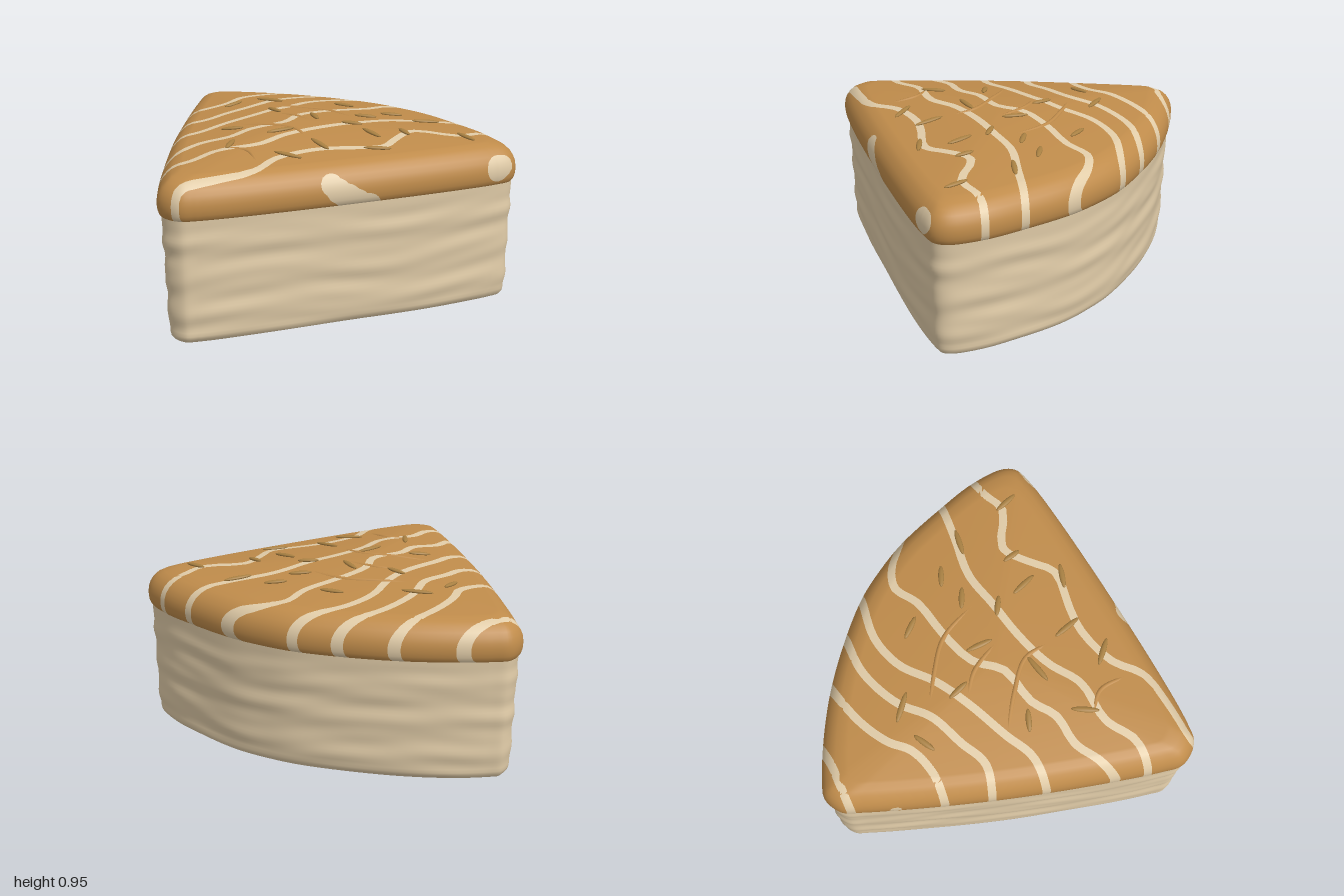
import * as THREE from 'three';

const V2 = (a) => new THREE.Vector2(a[0], a[1]);
const curve = (pts, closed = false) => new THREE.CatmullRomCurve3(pts.map(([x, z]) => new THREE.Vector3(x, 0, z)), closed);
const CENTRE = V2([-0.25, 0.02]);
const N = 300;

// Plan of the wedge: straight left side, curved back, slanted front
const plan = curve([
  [-.94, .8], [-.955, .15], [-.94, -.3], [-.9, -.8], [-.88, -.92], [-.8, -.995], [-.7, -.995], [-.48, -.96],
  [-.22, -.89], [.06, -.775], [.29, -.65], [.44, -.53], [.58, -.39], [.755, -.15], [.885, .06], [.95, .25], [.93, .335], [.84, .4],
  [0, .745], [-.72, .985], [-.82, .995], [-.92, .92],
], true);
const rim = Array.from({ length: N }, (_, j) => {
  const p = plan.getPointAt(j / N), t = plan.getTangentAt(j / N);
  const inward = V2([-t.z, t.x]), q = V2([p.x, p.z]);
  return { p: q, inward, reach: CENTRE.clone().sub(q).dot(inward) };
});

// Domed top surface: falls from the middle to an even height all round the rim
function topHeight(x, z) {
  let s = 0;
  for (const { inward, reach } of rim) s = Math.max(s, ((CENTRE.x - x) * inward.x + (CENTRE.y - z) * inward.y) / reach);
  return 0.95 - 0.07 * s ** 1.6;
}

// Closed rings of points stacked from the bottom up
function loft(rows, point) {
  const pos = [], index = [];
  for (let i = 0; i < rows; i++) {
    for (let j = 0; j < N; j++) {
      pos.push(...point(i, j));
      if (i === rows - 1) continue;
      const a = i * N + j, b = i * N + (j + 1) % N;
      index.push(a, a + N, b, b, a + N, b + N);
    }
  }
  const g = new THREE.BufferGeometry();
  g.setAttribute('position', new THREE.Float32BufferAttribute(pos, 3));
  g.setIndex(index);
  g.computeVertexNormals();
  return g;
}

// Pale drizzle lines running across the top and down the sides
const drizzle = [
  [[-1, -.83], [-.91, -.86], [-.76, -.9], [-.65, -.93], [-.45, -1.02]],
  [[-1, -.36], [-.94, -.37], [-.79, -.41], [-.66, -.5], [-.59, -.62], [-.44, -.76], [-.2, -.89], [-.08, -.92]],
  [[-1, -.12], [-.79, -.13], [-.66, -.24], [-.5, -.37], [-.39, -.54], [-.18, -.7], [.04, -.765], [.15, -.8]],
  [[-1, .18], [-.79, .12], [-.66, 0], [-.47, -.16], [-.31, -.32], [-.18, -.5], [0, -.61], [.25, -.65], [.36, -.68]],
  [[-1, .58], [-.86, .46], [-.76, .35], [-.6, .28], [-.5, .16], [-.31, .05], [-.23, -.11], [-.05, -.24], [.16, -.35], [.27, -.46], [.4, -.46], [.52, -.41], [.66, -.36]],
  [[-1, .73], [-.79, .67], [-.66, .53], [-.44, .44], [-.31, .29], [-.13, .16], [.08, .05], [.27, -.05], [.51, -.09], [.73, -.13], [.85, -.15]],
  [[-.84, 1.03], [-.82, .97], [-.66, .9], [-.44, .79], [-.34, .63], [-.15, .5], [0, .46], [.22, .42], [.3, .29], [.4, .16], [.64, .2], [.78, .1], [.95, .05]],
].map((pts) => curve(pts).getPoints(36));
// Wider drips on the sides: x, y, z, radius
const drips = [
  [-.055, .8, .745, .06], [-.015, .765, .745, .065], [.03, .73, .73, .07], [.07, .69, .715, .08], [.13, .65, .695, .09],
  [.84, .775, .385, .072], [.87, .785, .37, .06], [-.935, .7, -.66, .04], [-.93, .75, -.63, .035],
];

function drizzleField(x, y, z) {
  let d = 9;
  for (const line of drizzle) {
    for (let i = 0; i + 1 < line.length; i++) {
      const a = line[i], dx = line[i + 1].x - a.x, dz = line[i + 1].z - a.z;
      const t = Math.min(1, Math.max(0, ((x - a.x) * dx + (z - a.z) * dz) / (dx * dx + dz * dz)));
      d = Math.min(d, Math.hypot(x - a.x - t * dx, z - a.z - t * dz));
    }
  }
  d -= 0.022;
  for (const [cx, cy, cz, r] of drips) d = Math.min(d, Math.hypot(x - cx, y - cy, z - cz) - r);
  return d;
}

// Cuts every triangle along the zero line of a field and returns the two sides
function splitByField(g, field) {
  const P = g.attributes.position, M = g.attributes.normal, idx = g.index.array;
  const verts = Array.from({ length: P.count }, (_, i) => {
    const p = new THREE.Vector3().fromBufferAttribute(P, i);
    return { p, n: new THREE.Vector3().fromBufferAttribute(M, i), f: field(p.x, p.y, p.z) };
  });
  const clip = (sign) => {
    const pos = [], nor = [];
    for (let k = 0; k < idx.length; k += 3) {
      const poly = [];
      for (let e = 0; e < 3; e++) {
        const a = verts[idx[k + e]], b = verts[idx[k + (e + 1) % 3]];
        if (a.f * sign >= 0) poly.push(a);
        if (a.f * b.f < 0) {
          const t = a.f / (a.f - b.f);
          poly.push({ p: a.p.clone().lerp(b.p, t), n: a.n.clone().lerp(b.n, t).normalize() });
        }
      }
      for (let e = 1; e + 1 < poly.length; e++) {
        for (const v of [poly[0], poly[e], poly[e + 1]]) {
          pos.push(...v.p.toArray());
          nor.push(...v.n.toArray());
        }
      }
    }
    const out = new THREE.BufferGeometry();
    out.setAttribute('position', new THREE.Float32BufferAttribute(pos, 3));
    out.setAttribute('normal', new THREE.Float32BufferAttribute(nor, 3));
    return out;
  };
  return [clip(1), clip(-1)];
}

export function createModel() {
  const group = new THREE.Group();
  const material = (name, color, side = THREE.FrontSide) => {
    const m = new THREE.MeshStandardMaterial({ color, side });
    m.name = name;
    return m;
  };
  const cream = material('cream', 0xe1cca8, THREE.DoubleSide);
  const caramel = material('caramel', 0xc08c4b, THREE.DoubleSide);
  const seedBrown = material('seed brown', 0xa88042);
  const add = (name, geometry, mat, parent = group) => {
    const mesh = new THREE.Mesh(geometry, mat);
    mesh.name = name;
    parent.add(mesh);
    return mesh;
  };

  // Cake sides: a hollow wall with soft uneven layers, open underneath
  const bodyRows = 36;
  add('cakeBody', loft(bodyRows, (i, j) => {
    const t = i / (bodyRows - 1), a = j / N * Math.PI * 2, { p, inward } = rim[j];
    const fade = Math.min(1, (1 - t) * 6);
    const ripple = 0.004 * Math.sin(t * 22 + 0.7 * Math.sin(a * 3) + 0.3 * Math.sin(a * 8))
      + 0.0025 * Math.sin(t * 37 + 1.5 * Math.sin(a * 4 + 1)) * Math.sin(a * 5 + t * 3);
    const curl = 0.025 * Math.max(0, 1 - t / 0.06) ** 2;
    const inset = 0.02 + 0.02 * (1 - t) + curl + ripple * fade;
    return [p.x + inward.x * inset, 0.012 + 0.673 * t + 0.003 * Math.sin(a * 5) * (1 - t), p.y + inward.y * inset];
  }), cream);

  // Icing: rounded rim (inset, height share), then rings closing over the dome
  const rimProfile = [[.02, 0], [.01, .06], [.003, .16], [0, .28], [0, .4], [.004, .53], [.014, .66], [.03, .78], [.055, .89], [.085, .96], [.13, 1]];
  const domeRows = 40;
  const icing = loft(rimProfile.length + domeRows, (i, j) => {
    const { p, inward } = rim[j];
    const [inset, share] = rimProfile[Math.min(i, rimProfile.length - 1)];
    const q = p.clone().addScaledVector(inward, Math.min(inset, 0.05));
    const edge = Math.max(0, inset - 0.05) / 0.9;
    const k = Math.max(0, i - rimProfile.length + 1) / domeRows;
    q.lerp(CENTRE, edge + (1 - edge) * k);
    return [q.x, 0.683 + (topHeight(q.x, q.y) - 0.683) * share, q.y];
  });
  const [plain, striped] = splitByField(icing, drizzleField);
  add('icing', plain, caramel);
  add('drizzle', striped, cream);

  // Fine wrinkles in the icing
  const wrinkles = [
    [[-.43, -.37], [-.26, -.32], [-.07, -.24], [.11, -.03]],
    [[-.44, -.17], [-.29, -.11], [-.13, .05]],
    [[-.68, 0], [-.44, .08], [-.26, .17], [-.19, .31]],
    [[-.68, .46], [-.5, .53], [-.43, .69]],
  ];
  for (const pts of wrinkles) {
    const path = new THREE.CatmullRomCurve3(pts.map(([x, z], i) =>
      new THREE.Vector3(x, topHeight(x, z) - (i === 0 || i === pts.length - 1 ? 0.015 : 0.006), z)));
    add('wrinkle', new THREE.TubeGeometry(path, 24, 0.014, 10), caramel);
  }

  // Slim seeds scattered on top: x, z, direction x, direction z
  const seeds = new THREE.Group();
  seeds.name = 'seeds';
  group.add(seeds);
  const seedShape = new THREE.SphereGeometry(1, 16, 8);
  const seedList = [
    [-.42, -.52, 30, 14], [-.63, -.43, 18, -18], [.02, -.41, 22, 14], [-.38, -.21, 14, 20], [-.15, -.06, 8, 28], [.14, -.11, 24, 4],
    [.29, -.2, 24, 3], [.48, -.07, 30, -4], [.06, .075, 22, 6], [.165, .235, 18, 24], [.345, .2, 10, 18], [.68, .225, 16, 22],
    [.19, .455, 28, 0], [-.115, .425, 18, 28], [-.28, .59, 28, 14], [-.33, .225, 28, -16], [-.6, .13, 24, 2], [-.59, .435, 6, -28],
  ];
  for (const [x, z, dx, dz] of seedList) {
    const seed = add('seed', seedShape, seedBrown, seeds);
    seed.scale.set(Math.hypot(dx, dz) / 378, 0.01, 0.016);
    seed.position.set(x, topHeight(x, z) + 0.005, z);
    const along = new THREE.Vector3(dx, 0, dz).normalize();
    const e = 0.05;
    const slope = (topHeight(x + along.x * e, z + along.z * e) - topHeight(x - along.x * e, z - along.z * e)) / (2 * e);
    seed.quaternion.setFromEuler(new THREE.Euler(0, Math.atan2(-dz, dx), Math.atan(slope), 'YZX'));
  }
  return group;
}
